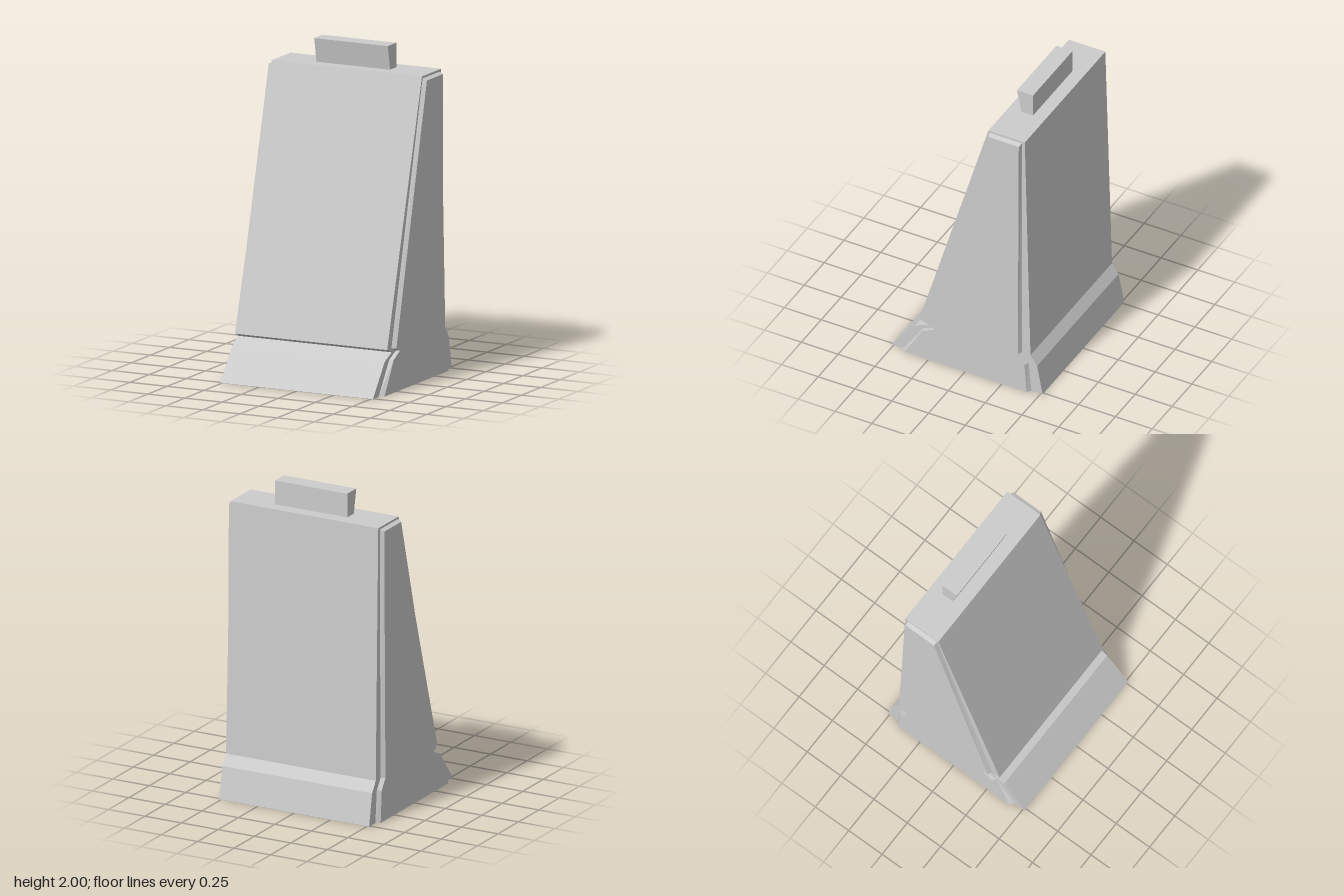
import * as THREE from 'three';

// Side profiles as [z, y], running from the front foot over the top to the back foot
const BODY = [[0.513, 0], [0.357, 0.2], [0.265, 0.24], [0.325, 0.265], [-0.14, 1.85],
  [-0.388, 1.85], [-0.43, 0.265], [-0.475, 0.2], [-0.513, 0]];
const RIM = [[0.438, 0], [0.3, 0.2], [0.215, 0.24], [0.27, 0.265], [-0.147, 1.836],
  [-0.368, 1.836], [-0.372, 0.265], [-0.418, 0.2], [-0.437, 0]];
const PANEL = [[0.412, 0], [0.288, 0.203], [0.207, 0.243], [0.255, 0.265], [-0.154, 1.825],
  [-0.361, 1.825], [-0.358, 0.265], [-0.403, 0.2], [-0.418, 0]];

// Half widths narrow slightly with height
const bodyX = (y) => 0.514 - 0.004 * y;
const panelX = (y) => 0.54 - 0.004 * y;

const material = new THREE.MeshStandardMaterial({
  color: 0xcccccc, flatShading: true, side: THREE.DoubleSide,
});

function part(name, geometry) {
  const mesh = new THREE.Mesh(geometry, material);
  mesh.name = name;
  return mesh;
}

// Skin between cross-sections ordered from -x to +x
function loft(sections, closed = false) {
  const n = sections[0].length;
  const index = [];
  for (let s = 0; s < sections.length - 1; s++) {
    for (let i = 0; i < (closed ? n : n - 1); i++) {
      const j = (i + 1) % n;
      const a = s * n + i, b = a + n, c = (s + 1) * n + j, d = s * n + j;
      index.push(a, b, c, a, c, d);
    }
  }
  const g = new THREE.BufferGeometry();
  g.setAttribute('position', new THREE.Float32BufferAttribute(sections.flat(2), 3));
  g.setIndex(index);
  const flat = g.toNonIndexed();
  flat.computeVertexNormals();
  return flat;
}

const section = (profile, side, width) => profile.map(([z, y]) => [side * width(y), y, z]);

// Flat sheet filling a profile on one side
function sheet(profile, side, width) {
  const shape = new THREE.Shape(profile.map(([z, y]) => new THREE.Vector2(-side * z, y)));
  const g = new THREE.ShapeGeometry(shape).rotateY(side * Math.PI / 2);
  const p = g.attributes.position;
  for (let i = 0; i < p.count; i++) p.setX(i, side * width(p.getY(i)));
  g.computeVertexNormals();
  return g;
}

export function createModel() {
  const model = new THREE.Group();
  model.name = 'wedgeHousing';

  // Hollow body, open underneath, with a notched front and flared skirt
  model.add(part('bodyShell', loft([section(BODY, -1, bodyX), section(BODY, 1, bodyX)])));

  // Side walls: flat border, bevel, raised panel and its thin bottom edge
  for (const side of [-1, 1]) {
    const wall = new THREE.Group();
    wall.name = side > 0 ? 'leftWall' : 'rightWall';
    const rings = [section(BODY, side, bodyX), section(RIM, side, bodyX), section(PANEL, side, panelX)];
    if (side < 0) rings.reverse();
    wall.add(part('borderAndBevel', loft(rings)));
    wall.add(part('raisedPanel', sheet(PANEL, side, panelX)));
    const foot = (profile, width) => [profile[profile.length - 1], profile[0]]
      .map(([z, y]) => [side * width(y), y, z]);
    const edge = [foot(RIM, bodyX), foot(PANEL, panelX)];
    if (side < 0) edge.reverse();
    wall.add(part('bottomEdge', loft(edge)));
    model.add(wall);
  }

  // Handle block with a front that leans forward
  const handle = new THREE.BoxGeometry(0.496, 0.15, 0.11).translate(0, 1.925, -0.25);
  const p = handle.attributes.position;
  for (let i = 0; i < p.count; i++) {
    if (p.getY(i) < 1.9 && p.getZ(i) > -0.25) p.setZ(i, -0.225);
  }
  handle.computeVertexNormals();
  model.add(part('topHandle', handle));

  return model;
}
